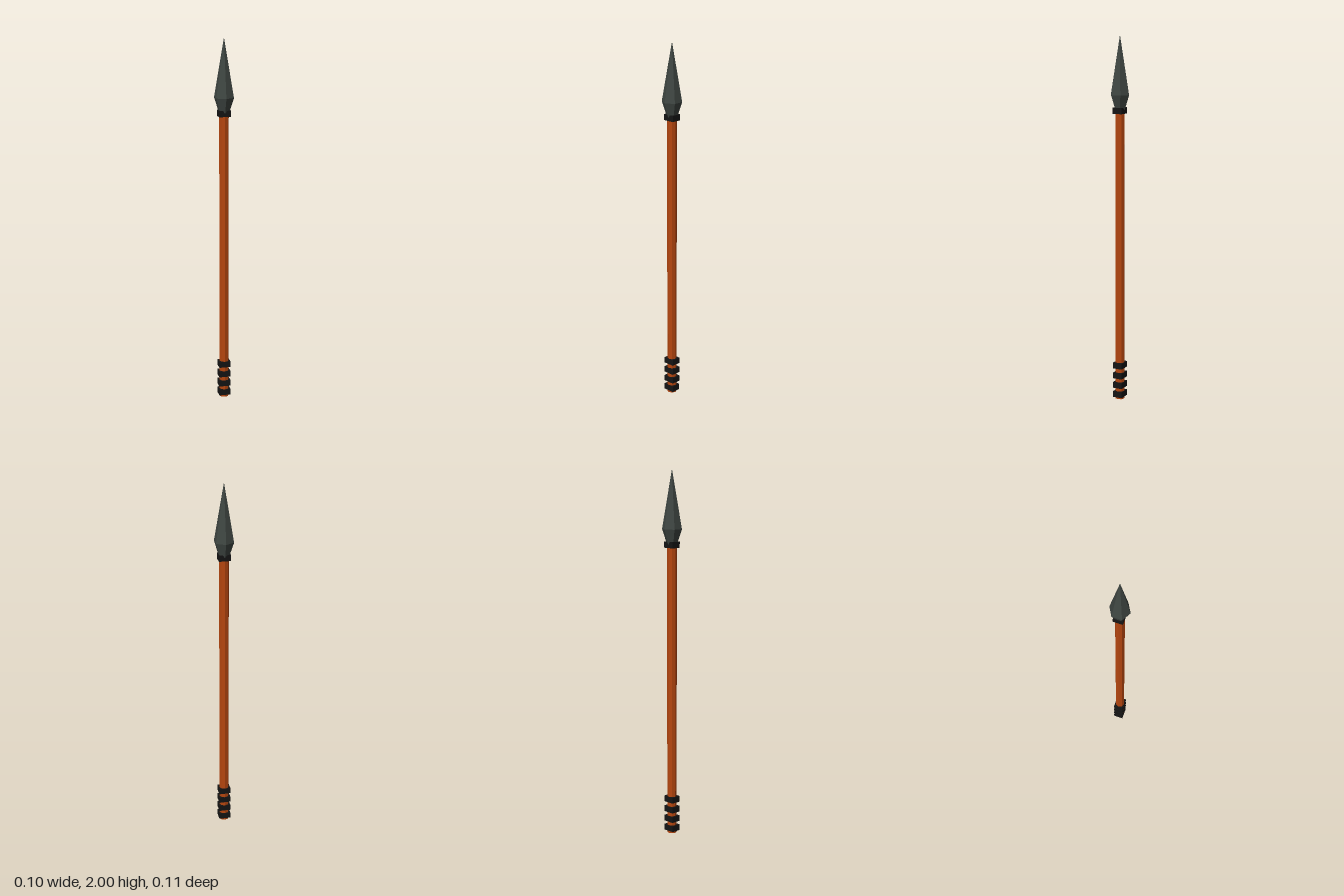
import * as THREE from 'three';

const paint = (color) => new THREE.MeshStandardMaterial({ color, flatShading: true });

export function createModel() {
  const spear = new THREE.Group();
  spear.name = 'spear';
  const wood = paint(0xb5460f);
  const leather = paint(0x141414);
  const stone = paint(0x3f4642);

  const add = (name, geometry, material, y) => {
    const mesh = new THREE.Mesh(geometry, material);
    mesh.name = name;
    mesh.position.y = y;
    spear.add(mesh);
    return mesh;
  };

  // Eight-sided wooden shaft
  add('shaft', new THREE.CylinderGeometry(0.026, 0.026, 1.61, 8), wood, 0.805);

  // Rectangular bands: four at the grip, one under the head
  const bandShape = new THREE.BoxGeometry(0.064, 0.033, 0.053);
  [0.028, 0.081, 0.136, 0.193].forEach((y, i) => add(`gripBand${i + 1}`, bandShape, leather, y));
  add('headBand', bandShape, leather, 1.602);

  // Six-sided spearhead: short flare, then a long point
  const flareBottom = 1.605, widest = 1.685, tip = 2;
  add('headFlare', new THREE.CylinderGeometry(0.055, 0.028, widest - flareBottom, 6, 1, true),
    stone, (flareBottom + widest) / 2);
  add('headPoint', new THREE.ConeGeometry(0.055, tip - widest, 6, 1, true),
    stone, (widest + tip) / 2);

  return spear;
}
